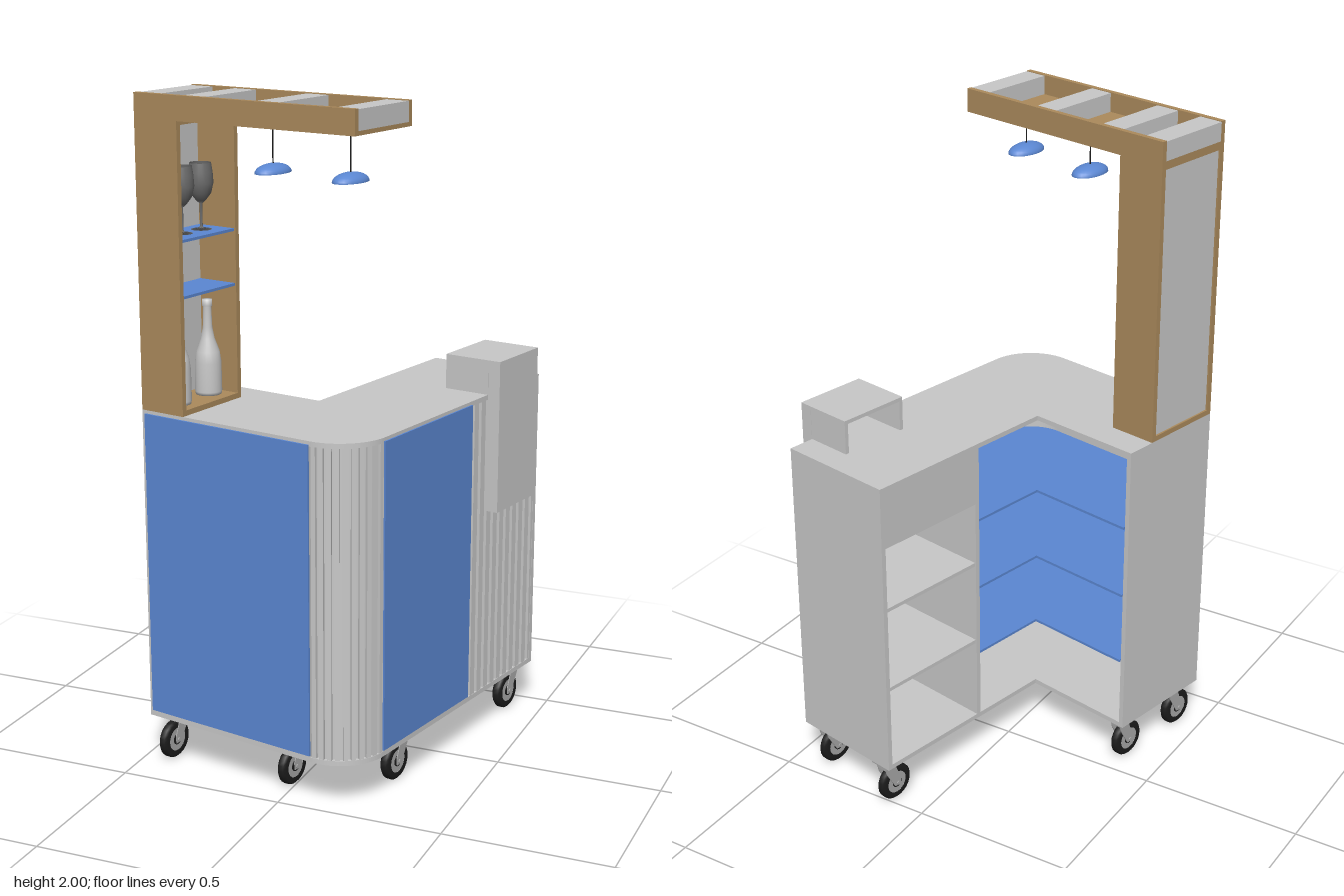
import * as THREE from 'three';

const mat = (name, color, extra = {}) => Object.assign(new THREE.MeshStandardMaterial({ color, ...extra }), { name });

export function createModel() {
  const grey = mat('light grey panel', 0xc8c8c8);
  const blue = mat('blue laminate', 0x5b87d2);
  const wood = mat('wood', 0xab8a5c);
  const black = mat('black rubber', 0x1c1c1c);
  const smoke = mat('smoky glass', 0x6c6c6c, { side: THREE.DoubleSide });
  const metal = mat('caster metal', 0xa8a8a8);

  const model = new THREE.Group();
  model.name = 'mobileBarCounter';
  // the whole cart stands turned a little about the vertical axis
  const cart = new THREE.Group();
  cart.name = 'cart';
  cart.rotation.y = -0.2025;
  model.add(cart);

  const add = (name, geo, material, parent = cart) => {
    const m = new THREE.Mesh(geo, material);
    m.name = name;
    parent.add(m);
    return m;
  };
  // box given by its limits on each axis
  const box = (name, x0, x1, y0, y1, z0, z1, material, parent = cart) => {
    const m = add(name, new THREE.BoxGeometry(x1 - x0, y1 - y0, z1 - z0), material, parent);
    m.position.set((x0 + x1) / 2, (y0 + y1) / 2, (z0 + z1) / 2);
    return m;
  };
  // plan outline (drawn with y = -z) raised from y0 to y1
  const slab = (name, shape, y0, y1, material) => {
    const geo = new THREE.ExtrudeGeometry(shape, { depth: y1 - y0, bevelEnabled: false, curveSegments: 16 });
    geo.rotateX(-Math.PI / 2);
    add(name, geo, material).position.y = y0;
  };

  // ---- Counter limits
  const L = -0.385, R = 0.352, F = 0.469, B = -0.544;
  const inX = -0.021, inZ = 0.103, rad = 0.15, cx = R - rad, cz = F - rad, split = -0.15;
  const y0 = 0.145, y1 = 1.095, t = 0.015;

  // L-shaped outline with one rounded corner, inset by d, ending at z = back
  const outline = (d, back) => {
    const s = new THREE.Shape();
    s.moveTo(L + d, -(F - d));
    s.lineTo(cx, -(F - d));
    s.absarc(cx, -cz, rad - d, -Math.PI / 2, 0, false);
    s.lineTo(R - d, -back);
    s.lineTo(inX, -back);
    s.lineTo(inX, -inZ);
    s.lineTo(L + d, -inZ);
    s.closePath();
    return s;
  };
  slab('countertop', outline(0, B), y1 - t, y1, grey);
  slab('baseBoard', outline(0, B), y0, y0 + t, grey);
  [0.385, 0.615, 0.845].forEach((y) => slab('cornerShelf', outline(0.02, split), y - 0.008, y, blue));

  // curved outer wall
  const wall = new THREE.Shape();
  const a = 0.01, b = 0.022;
  wall.moveTo(L, -(F - a));
  wall.lineTo(cx, -(F - a));
  wall.absarc(cx, -cz, rad - a, -Math.PI / 2, 0, false);
  wall.lineTo(R - a, -B);
  wall.lineTo(R - b, -B);
  wall.lineTo(R - b, -cz);
  wall.absarc(cx, -cz, rad - b, 0, -Math.PI / 2, true);
  wall.lineTo(L, -(F - b));
  wall.closePath();
  slab('outerWall', wall, y0 + t, y1 - t, grey);

  // straight panels
  const lo = y0 + t, hi = y1 - t;
  box('endPanel', L, L + t, lo, hi, inZ, F, grey);
  box('rearPanel', inX, R, lo, hi, B, B + t, grey);
  box('partition', inX, R - b, lo, hi, split - t, split, grey);
  box('frontBacking', L, cx, lo, hi, F - a, F, grey);
  box('sideBacking', R - a, R, lo, hi, split, cz, grey);
  box('frontPanel', L + 0.012, cx, 0.165, 1.085, F, F + 0.006, blue);
  box('sidePanel', R, R + 0.005, 0.165, 1.085, split + 0.008, cz + 0.005, blue);
  box('apron', inX, inX + t, 0.9, hi, B + t, split - t, grey);
  [0.43, 0.7].forEach((y) => box('cabinetShelf', inX + 0.004, R - b, y - 0.012, y, B + t, split - t, grey));

  // vertical slats: round the corner, then along the side
  for (let i = 0; i < 10; i++) {
    const g = ((i + 0.5) / 10) * Math.PI / 2, r = rad - 0.006;
    const s = box('cornerSlat', -0.007, 0.007, lo, hi, -0.005, 0.005, grey);
    s.position.set(cx + r * Math.sin(g), (lo + hi) / 2, cz + r * Math.cos(g));
    s.rotation.y = g;
  }
  for (let i = 0; i < 10; i++) {
    const z = B + 0.002 + i * 0.0395;
    box('sideSlat', R - a, R - 0.001, lo, hi, z, z + 0.024, grey);
  }

  // ---- Hood hanging over the side of the counter
  const hx0 = 0.207, hx1 = 0.392, hz0 = -0.461, hz1 = -0.234, hy = 1.2;
  box('hoodTop', hx0, hx1, hy - 0.012, hy, hz0, hz1, grey);
  [hz0, hz1 - 0.012].forEach((z) => box('hoodCheek', hx0, R, y1, hy - 0.012, z, z + 0.012, grey));
  box('hoodFront', R + 0.001, hx1, 0.735, hy - 0.012, hz0, hz1, grey);

  // ---- Display tower
  const tx = -0.2355, tz = 0.197, p = 0.016, roofY = 1.93;
  [tz, F - p].forEach((z) => box('towerSide', L, tx, y1, roofY, z, z + p, wood));
  box('towerFloor', L, tx, y1, y1 + p, tz + p, F - p, wood);
  box('towerLintel', L, tx, roofY - 0.012, roofY, tz + p, F - p, wood);
  box('towerBack', L + 0.006, L + 0.018, y1 + p, roofY - 0.012, tz + p, F - p, grey);
  [1.435, 1.595].forEach((y) => box('towerShelf', L + 0.018, tx - 0.004, y - 0.004, y + 0.004, tz + p, F - p, blue));

  // ---- Roof: two beams, ceiling and cross boards
  [tz, F - p].forEach((z) => box('roofBeam', L, R, roofY, 2, z, z + p, wood));
  box('ceiling', L, R, roofY, roofY + 0.012, tz + p, F - p, wood);
  [[L, -0.31], [-0.23, -0.155], [0.02, 0.092], [0.28, R]].forEach(([x0, x1]) =>
    box('roofBoard', x0, x1, roofY + 0.012, 1.998, tz + p, F - p, grey));
  box('lampTrack', -0.16, 0.27, roofY - 0.005, roofY, 0.338, 0.346, black);

  // ---- Pendant lamps with oval shades
  [[-0.008, 0.335], [0.262, 0.355]].forEach(([x, z]) => {
    const lamp = new THREE.Group();
    lamp.name = 'pendantLamp';
    lamp.position.set(x, 1.793, z);
    cart.add(lamp);
    const dome = new THREE.SphereGeometry(1, 28, 8, 0, Math.PI * 2, 0, Math.PI / 2);
    add('shade', dome, blue, lamp).scale.set(0.041, 0.026, 0.066);
    const under = add('shadeUnderside', new THREE.CircleGeometry(1, 28).rotateX(Math.PI / 2), blue, lamp);
    under.scale.set(0.041, 1, 0.066);
    add('cord', new THREE.CylinderGeometry(0.002, 0.002, 0.115, 6), black, lamp).position.y = 0.081;
  });

  // ---- Bottles and glasses
  const lathe = (pts) => new THREE.LatheGeometry(pts.map(([r, y]) => new THREE.Vector2(r, y)), 24);
  const bottle = lathe([[0, 0], [0.038, 0], [0.04, 0.01], [0.039, 0.1], [0.034, 0.135], [0.02, 0.175],
    [0.014, 0.21], [0.012, 0.275], [0.015, 0.276], [0.015, 0.296], [0, 0.297]]);
  const glass = lathe([[0, 0], [0.03, 0.001], [0.006, 0.006], [0.004, 0.012], [0.004, 0.075], [0.014, 0.084],
    [0.03, 0.105], [0.037, 0.135], [0.035, 0.165], [0.031, 0.192]]);
  [[0.404, 1], [0.262, 0.95]].forEach(([z, s]) => {
    const m = add('bottle', bottle, grey);
    m.position.set(-0.305, y1 + p, z);
    m.scale.y = s;
  });
  [0.368, 0.281].forEach((z) => add('wineGlass', glass, smoke).position.set(-0.305, 1.599, z));

  // ---- Casters
  const wheelR = 0.058;
  const disc = (r, w) => new THREE.CylinderGeometry(r, r, w, 28).rotateZ(Math.PI / 2);
  const tyre = lathe([[0.036, -0.013], [0.052, -0.014], [wheelR, -0.008], [wheelR, 0.008],
    [0.052, 0.014], [0.036, 0.013]]).rotateZ(Math.PI / 2);
  const fork = new THREE.Shape();
  [[-0.012, -0.008], [0.01, -0.01], [0.012, 0.012], [-0.012, 0.073], [-0.05, 0.073], [-0.045, 0.05]]
    .forEach(([x, y], i) => (i ? fork.lineTo(x, y) : fork.moveTo(x, y)));
  const forkGeo = new THREE.ExtrudeGeometry(fork, { depth: 0.003, bevelEnabled: false }).rotateY(-Math.PI / 2);
  [[-0.344, 0.413], [-0.342, 0.172], [0.059, 0.361], [0.289, 0.165], [0.296, -0.474], [0.023, -0.484]]
    .forEach(([x, z]) => {
      const c = new THREE.Group();
      c.name = 'caster';
      c.position.set(x, wheelR, z);
      cart.add(c);
      add('tyre', tyre, black, c);
      add('rim', disc(0.037, 0.024), metal, c);
      add('hub', disc(0.017, 0.029), black, c);
      add('axle', disc(0.006, 0.044), metal, c);
      [-0.016, 0.019].forEach((fx) => { add('forkArm', forkGeo, metal, c).position.x = fx; });
      box('forkCrown', -0.019, 0.019, 0.066, 0.074, -0.05, -0.012, metal, c);
      add('swivel', new THREE.CylinderGeometry(0.018, 0.018, 0.01, 16), metal, c).position.set(0, 0.079, -0.031);
      box('mountPlate', -0.03, 0.03, 0.083, 0.087, -0.06, -0.002, metal, c);
    });

  return model;
}
